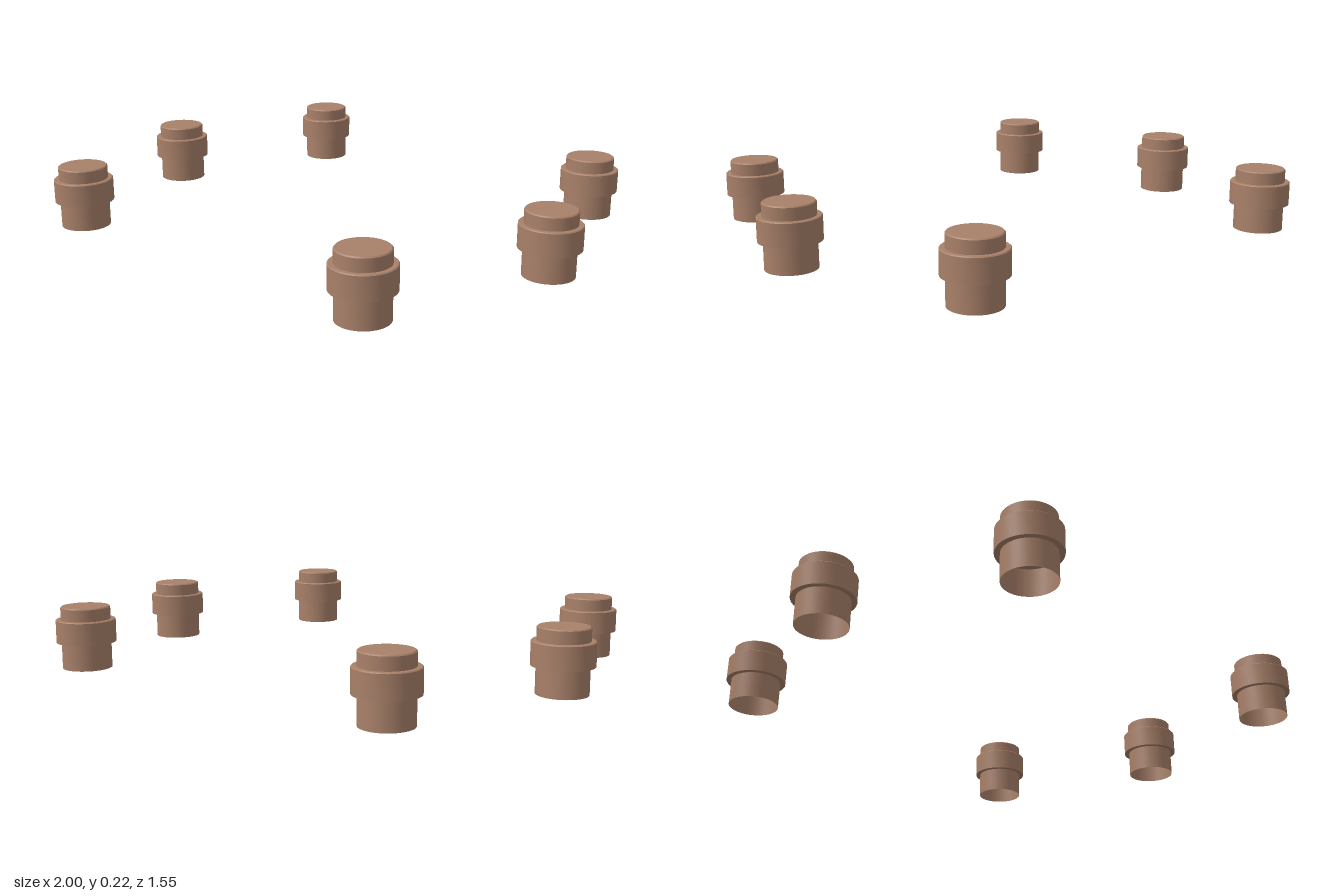
import * as THREE from 'three';
import { toCreasedNormals } from 'three/addons/utils/BufferGeometryUtils.js';

const SEGMENTS = 40;

// Turned part from [radius, height] pairs, listed from bottom to top
function turned(profile) {
  const points = profile.map(([r, y]) => new THREE.Vector2(r, y));
  return toCreasedNormals(new THREE.LatheGeometry(points, SEGMENTS), 0.6);
}

export function createModel() {
  const model = new THREE.Group();
  model.name = 'sixCappedPosts';

  const clay = new THREE.MeshStandardMaterial({ color: 0xa88069, side: THREE.DoubleSide });
  clay.name = 'clayBrown';

  // Post: hollow, open at the foot, closed at the top with a fine bevel
  const postGeometry = turned([[0.088, 0], [0.088, 0.221], [0.084, 0.225], [0, 0.225]]);

  // Collar: closed wide ring around the middle, bevelled at its upper edge
  const collarGeometry = turned([
    [0, 0.095], [0.106, 0.095], [0.106, 0.175], [0.103, 0.178], [0, 0.178],
  ]);

  // Four corner posts and one further out on each side
  for (const side of [-1, 1]) {
    for (const [x, z] of [[0.668, 0.668], [0.894, 0], [0.668, -0.668]]) {
      const unit = new THREE.Group();
      unit.name = 'cappedPost';
      const post = new THREE.Mesh(postGeometry, clay);
      post.name = 'post';
      const collar = new THREE.Mesh(collarGeometry, clay);
      collar.name = 'collar';
      unit.add(post, collar);
      unit.position.set(side * x, 0, z);
      model.add(unit);
    }
  }
  return model;
}
